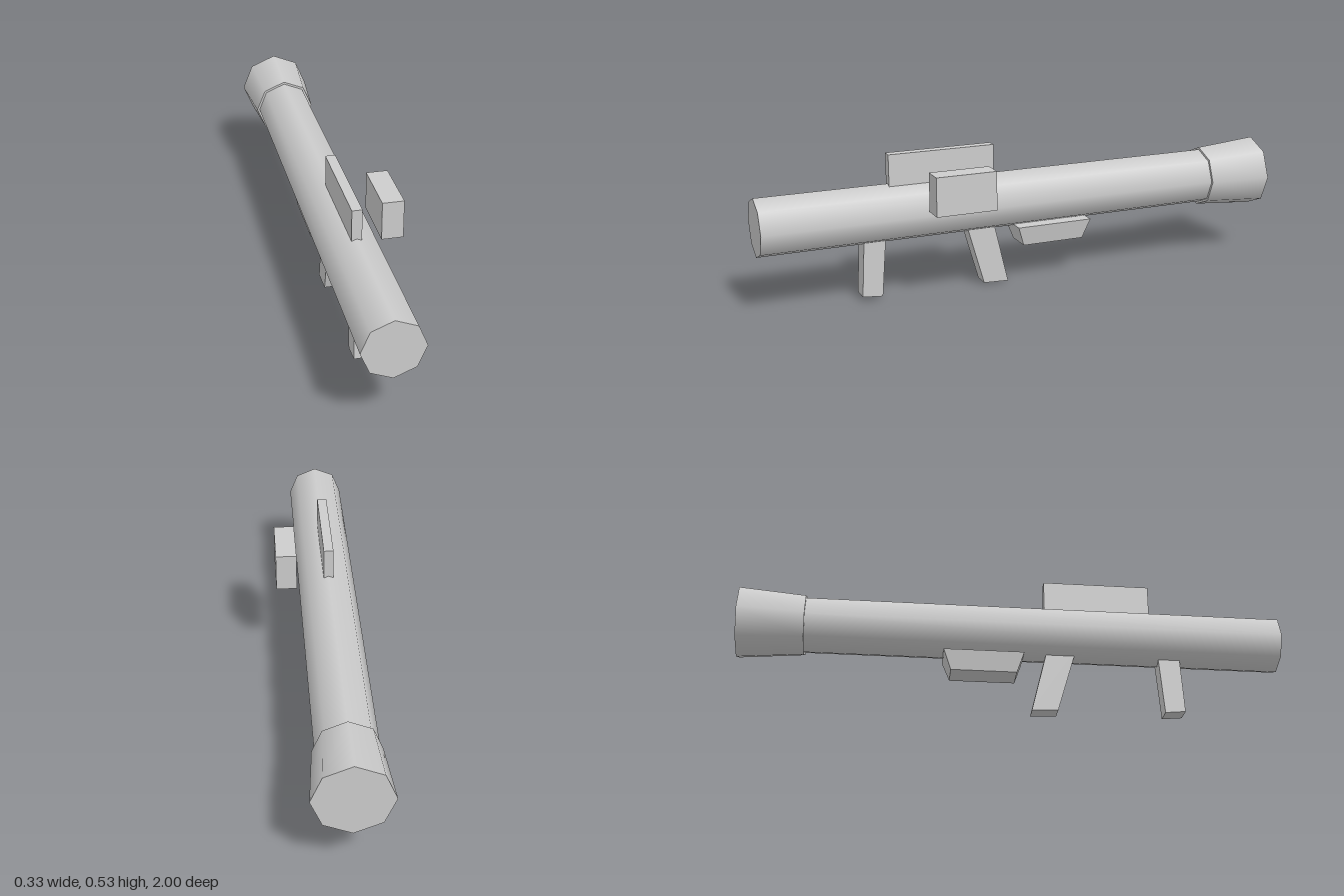
import * as THREE from 'three';

export function createModel() {
  const model = new THREE.Group();
  model.name = 'launcher';
  const grey = new THREE.MeshStandardMaterial({ color: 0xcccccc });
  grey.name = 'plain grey';
  const axisX = -0.03, axisY = 0.313;

  const add = (name, geometry) => {
    const mesh = new THREE.Mesh(geometry, grey);
    mesh.name = name;
    model.add(mesh);
    return mesh;
  };

  // Eight-sided section along z, smooth around its side
  const barrel = (name, frontRadius, backRadius, front, back) => {
    const geo = new THREE.CylinderGeometry(frontRadius, backRadius, front - back, 8);
    geo.rotateX(Math.PI / 2);
    add(name, geo).position.set(axisX, axisY, (front + back) / 2);
  };

  // Six-sided block between two rectangles; y values are [front, back]
  const block = (name, top, bottom) => {
    const geo = new THREE.BoxGeometry(1, 1, 1);
    const p = geo.attributes.position;
    for (let i = 0; i < p.count; i++) {
      const end = p.getY(i) > 0 ? top : bottom;
      const zSide = p.getZ(i) > 0 ? 1 : 0;
      p.setXYZ(i, end.x[p.getX(i) > 0 ? 1 : 0], end.y[1 - zSide], end.z[zSide]);
    }
    geo.computeVertexNormals();
    add(name, geo);
  };

  // Main tube and flared exhaust
  barrel('tube', 0.107, 0.107, 1, -0.8);
  barrel('exhaustBell', 0.116, 0.136, -0.76, -1);

  // Top rail and side sight
  add('topRail', new THREE.BoxGeometry(0.036, 0.13, 0.4)).position.set(-0.03, 0.464, 0.32);
  add('sideSight', new THREE.BoxGeometry(0.078, 0.143, 0.226)).position.set(0.126, 0.405, 0.291);

  // Slanted grips, reaching up into the tube
  block('frontGrip',
    { x: [-0.064, 0.002], y: [0.25, 0.25], z: [0.541, 0.622] },
    { x: [-0.064, 0.002], y: [0.017, 0.01], z: [0.56, 0.635] });
  block('rearGrip',
    { x: [-0.064, 0.002], y: [0.25, 0.25], z: [0.13, 0.237] },
    { x: [-0.062, 0], y: [0.004, 0], z: [0.07, 0.166] });

  // Tapered shoulder rest
  block('shoulderRest',
    { x: [-0.097, 0.036], y: [0.213, 0.213], z: [-0.255, 0.04] },
    { x: [-0.082, 0.021], y: [0.138, 0.138], z: [-0.227, 0.014] });

  return model;
}
